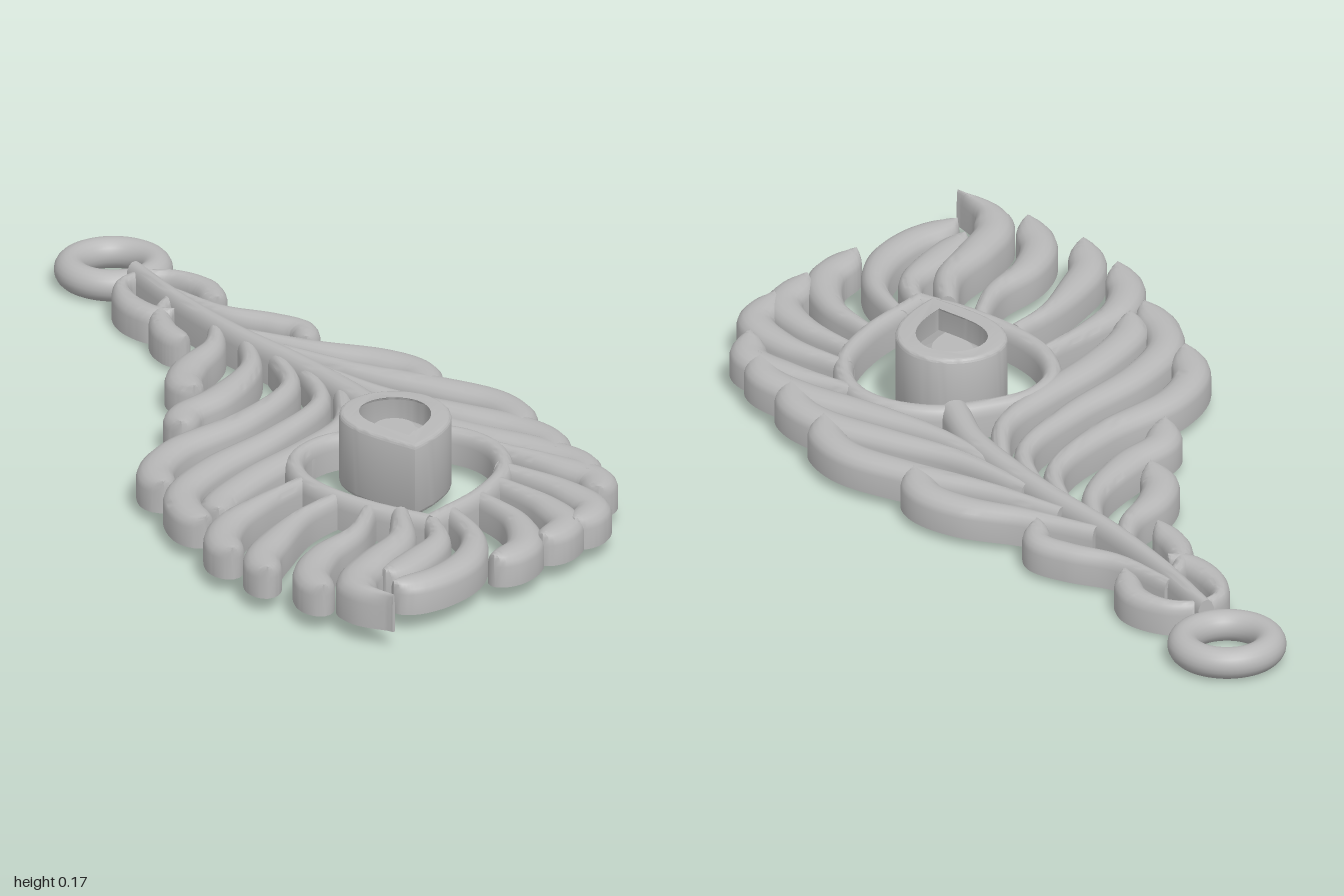
import * as THREE from 'three';
import { toCreasedNormals } from 'three/addons/utils/BufferGeometryUtils.js';

// Underside rises gently from the ring to the feather tip
const baseY = z => 0.022 + 0.017 * z;

// Flat-bottomed, dome-topped cross-section (side, height), counterclockwise
const PROFILE = [[1, 0], [1, 0.62], [0.9, 0.78], [0.66, 0.91], [0.35, 0.98], [0, 1],
  [-0.35, 0.98], [-0.66, 0.91], [-0.9, 0.78], [-1, 0.62], [-1, 0]];

// Sweep the profile along a path of [x, z] points; widthAt(t, distanceToEnd) is the half width
function sweep(points, widthAt, height, steps = 36) {
  const curve = new THREE.CatmullRomCurve3(points.map(([x, z]) => new THREE.Vector3(x, 0, z)));
  const length = curve.getLength(), n = PROFILE.length, pos = [], index = [];
  for (let i = 0; i <= steps; i++) {
    const u = i / steps, t = u * (1.6 - 0.6 * u);
    const p = curve.getPointAt(t), d = curve.getTangentAt(t);
    const w = widthAt(t, (1 - t) * length);
    for (const [s, h] of PROFILE) pos.push(p.x + d.z * s * w, baseY(p.z) + h * height, p.z - d.x * s * w);
  }
  for (let i = 0; i < steps; i++) for (let j = 0; j < n; j++) {
    const a = i * n + j, b = i * n + (j + 1) % n;
    index.push(a, b, a + n, b, b + n, a + n);
  }
  const e = steps * n;
  for (let k = 1; k < n - 1; k++) index.push(0, k + 1, k, e, e + k, e + k + 1);
  const geo = new THREE.BufferGeometry();
  geo.setAttribute('position', new THREE.Float32BufferAttribute(pos, 3));
  geo.setIndex(index);
  return toCreasedNormals(geo, 0.7);
}

// Barb: narrow at the root, full near the end, rounded tip
const barbWidth = full => (t, d) => {
  const grow = 0.5 + 0.5 * THREE.MathUtils.smoothstep(t, 0.05, 0.7);
  const r = full * 1.7, k = d < r ? Math.sqrt(1 - (1 - d / r) ** 2) : 1;
  return Math.max(full * grow * k, 0.003);
};

const LEFT_ROW = [
  [[0.02, -0.77], [-0.03, -0.74], [-0.05, -0.66], [-0.03, -0.58], [0, -0.56]],
  [[0.03, -0.64], [-0.02, -0.58], [-0.045, -0.5], [-0.04, -0.42]],
  [[0.05, -0.47], [0, -0.38], [-0.08, -0.31], [-0.12, -0.25], [-0.13, -0.18]],
  [[0.07, -0.38], [0.02, -0.25], [-0.1, -0.14], [-0.19, -0.09], [-0.23, -0.02]],
  [[0.09, -0.29], [0.05, -0.13], [-0.1, -0.01], [-0.28, 0.07], [-0.36, 0.15], [-0.39, 0.25]],
  [[0.11, -0.2], [0.07, -0.03], [-0.08, 0.09], [-0.26, 0.19], [-0.36, 0.28], [-0.39, 0.36], [-0.39, 0.45]],
  [[0.13, -0.06], [0.06, 0.09], [-0.06, 0.18], [-0.21, 0.27], [-0.32, 0.36], [-0.35, 0.42]],
  [[-0.13, 0.34], [-0.25, 0.4], [-0.34, 0.46], [-0.39, 0.53], [-0.41, 0.62]],
  [[-0.12, 0.45], [-0.21, 0.5], [-0.3, 0.58], [-0.36, 0.65], [-0.39, 0.74]],
  [[-0.08, 0.53], [-0.15, 0.62], [-0.25, 0.69], [-0.31, 0.77], [-0.33, 0.87]],
];
const RIGHT_ROW = [
  [[0.02, -0.77], [0.08, -0.74], [0.115, -0.67], [0.1, -0.58]],
  [[0.04, -0.66], [0.09, -0.53], [0.16, -0.45], [0.195, -0.39], [0.17, -0.32]],
  [[0.08, -0.4], [0.18, -0.28], [0.27, -0.19], [0.31, -0.11], [0.3, -0.02]],
  [[0.11, -0.3], [0.2, -0.15], [0.31, -0.01], [0.38, 0.1], [0.39, 0.18], [0.37, 0.25]],
  [[0.13, -0.18], [0.2, 0], [0.29, 0.13], [0.37, 0.25], [0.39, 0.33], [0.37, 0.41]],
  [[0.14, -0.07], [0.2, 0.11], [0.28, 0.25], [0.36, 0.37], [0.395, 0.46], [0.38, 0.54]],
];
const LOWER_ROW = [
  [[0.01, 0.62], [-0.02, 0.72], [-0.1, 0.79], [-0.19, 0.85]],
  [[0.06, 0.59], [0.05, 0.73], [-0.01, 0.83], [-0.1, 0.89], [-0.2, 0.91]],
  [[0.14, 0.55], [0.16, 0.69], [0.12, 0.81], [0.03, 0.87]],
  [[0.2, 0.49], [0.245, 0.64], [0.24, 0.74], [0.16, 0.81]],
  [[0.24, 0.43], [0.31, 0.58], [0.32, 0.69], [0.25, 0.76]],
  [[0.27, 0.33], [0.35, 0.46], [0.39, 0.55], [0.36, 0.63]],
];

// Teardrop outline in x, z, inset from the setting's outer wall
function teardrop(PathType, inset) {
  const cx = 0.078, cz = 0.298, r = 0.106 - inset, tx = 0.042 + inset * 0.25, tz = 0.475 - inset * 1.5;
  const path = new PathType();
  path.moveTo(tx, tz);
  path.bezierCurveTo(cx + r * 0.55, cz + r * 1.2, cx + r, cz + r * 0.7, cx + r, cz);
  path.bezierCurveTo(cx + r, cz - r * 0.56, cx + r * 0.56, cz - r, cx, cz - r);
  path.bezierCurveTo(cx - r * 0.56, cz - r, cx - r, cz - r * 0.56, cx - r, cz);
  path.bezierCurveTo(cx - r, cz + r * 0.55, cx - r * 0.7, cz + r, tx, tz);
  return path;
}

// Faceted stone: stacked teardrop rings with a flat table and pointed underside
function gemGeometry() {
  const ring = teardrop(THREE.Path, 0.028).getPoints(4).slice(0, -1);
  const n = ring.length, cx = 0.072, cz = 0.31, pos = [];
  const at = ([s, y], k) => [cx + (ring[k % n].x - cx) * s, y, cz + (ring[k % n].y - cz) * s];
  const levels = [[0, 0.15], [0.5, 0.15], [1, 0.125], [1, 0.115], [0, 0.05]];
  for (let i = 0; i < levels.length - 1; i++) for (let k = 0; k < n; k++) {
    const a = at(levels[i], k), b = at(levels[i], k + 1), c = at(levels[i + 1], k), d = at(levels[i + 1], k + 1);
    if (levels[i][0] > 0) pos.push(...a, ...b, ...c);
    if (levels[i + 1][0] > 0) pos.push(...b, ...d, ...c);
  }
  const geo = new THREE.BufferGeometry();
  geo.setAttribute('position', new THREE.Float32BufferAttribute(pos, 3));
  geo.computeVertexNormals();
  return geo;
}

export function createModel() {
  const model = new THREE.Group();
  model.name = 'featherPendant';
  const metal = new THREE.MeshStandardMaterial({ color: 0xb8b8b8, side: THREE.DoubleSide });
  metal.name = 'silver grey';
  const add = (name, geo, parent = model) => {
    const mesh = new THREE.Mesh(geo, metal);
    mesh.name = name;
    parent.add(mesh);
    return mesh;
  };

  // Hanging ring
  const ring = add('hangingRing', new THREE.TorusGeometry(0.084, 0.031, 20, 56));
  ring.rotation.x = Math.PI / 2;
  ring.position.set(0.018, 0.035, -0.885);

  // Central shaft
  add('shaft', sweep([[0.02, -0.79], [0.03, -0.6], [0.06, -0.4], [0.105, -0.22], [0.135, -0.05],
    [0.143, 0.06], [0.125, 0.18]], t => 0.018 + 0.012 * t, 0.078));

  // Barbs on both sides and around the lower edge
  const rows = { leftwardBarbs: RIGHT_ROW, rightwardBarbs: LEFT_ROW, lowerBarbs: LOWER_ROW };
  for (const [name, row] of Object.entries(rows)) {
    const group = new THREE.Group();
    group.name = name;
    model.add(group);
    row.forEach((path, i) => {
      const small = name !== 'lowerBarbs' && i < 2;
      add('barb', sweep(path, barbWidth(small ? 0.028 : 0.037), 0.067), group);
    });
  }

  // Curled feather tip
  add('featherTip', sweep([[-0.04, 0.59], [-0.09, 0.7], [-0.18, 0.78], [-0.25, 0.85], [-0.27, 0.92], [-0.24, 1]],
    (t, d) => Math.max(0.04 * Math.min(1, 0.5 + t) * Math.min(1, d / 0.12), 0.003), 0.078));

  // Eye frame, pointed at its lower end
  add('eyeFrame', sweep([[0, 0.635], [-0.07, 0.53], [-0.12, 0.41], [-0.13, 0.32], [-0.1, 0.23], [-0.03, 0.178],
    [0.06, 0.17], [0.16, 0.185], [0.24, 0.25], [0.27, 0.34], [0.24, 0.45], [0.15, 0.545], [0, 0.635]],
  () => 0.02, 0.07, 72));

  // Raised stone setting
  const outline = teardrop(THREE.Shape, 0);
  outline.holes.push(teardrop(THREE.Path, 0.03));
  const wall = new THREE.ExtrudeGeometry(outline, { depth: 0.132, curveSegments: 16,
    bevelEnabled: true, bevelSize: 0.008, bevelThickness: 0.008, bevelOffset: -0.008, bevelSegments: 3 });
  const setting = add('stoneSetting', toCreasedNormals(wall, 0.7));
  setting.rotation.x = Math.PI / 2;
  setting.position.y = 0.17;

  add('stone', gemGeometry());
  return model;
}
